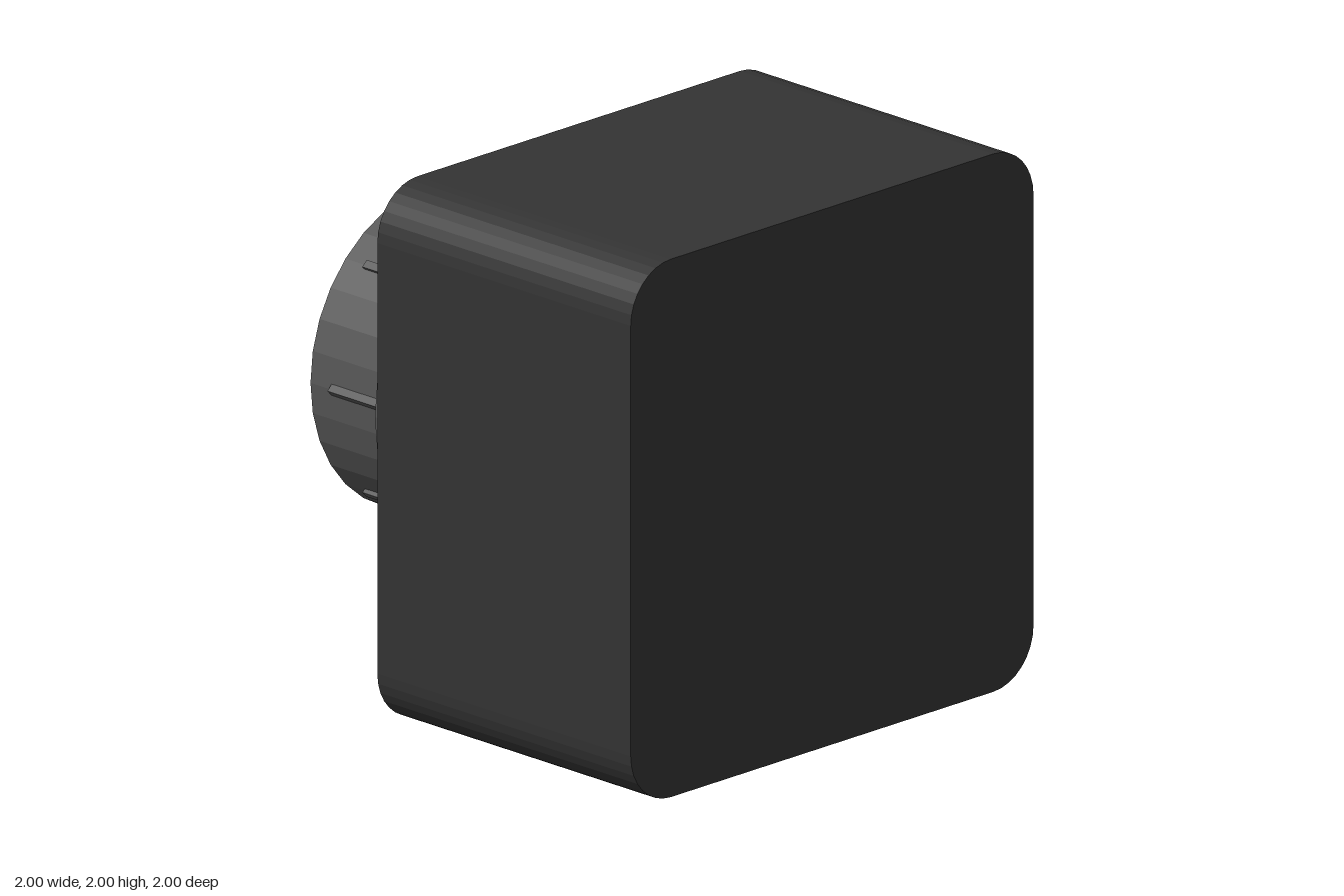
import * as THREE from 'three';

const bodyMaterial = new THREE.MeshStandardMaterial({ color: 0x333333, flatShading: true });
bodyMaterial.name = 'dark grey';
const knobMaterial = new THREE.MeshStandardMaterial({ color: 0x555555, flatShading: true });
knobMaterial.name = 'mid grey';

// Square outline with rounded corners, centred on the origin
function roundedSquare(half, radius) {
  const shape = new THREE.Shape();
  const c = half - radius;
  [[c, c], [-c, c], [-c, -c], [c, -c]].forEach(([x, y], i) => {
    shape.absarc(x, y, radius, i * Math.PI / 2, (i + 1) * Math.PI / 2, false);
  });
  shape.closePath();
  return shape;
}

// Cylinder lying along z between two depths
function cylinderZ(name, radius, zFront, zBack, sides, x = 0, y = 1) {
  const geometry = new THREE.CylinderGeometry(radius, radius, zFront - zBack, sides);
  geometry.rotateX(Math.PI / 2);
  const mesh = new THREE.Mesh(geometry, knobMaterial);
  mesh.name = name;
  mesh.position.set(x, y, (zFront + zBack) / 2);
  return mesh;
}

export function createModel() {
  const model = new THREE.Group();
  model.name = 'housingWithKnob';

  // Rounded block
  const geometry = new THREE.ExtrudeGeometry(roundedSquare(1, 0.2), {
    depth: 1.26, bevelEnabled: false, curveSegments: 4,
  });
  const body = new THREE.Mesh(geometry, bodyMaterial);
  body.name = 'body';
  body.position.set(0, 1, -0.26);
  model.add(body);

  // Stepped knob on the back
  model.add(cylinderZ('collar', 0.693, -0.26, -0.58, 32));
  model.add(cylinderZ('knob', 0.593, -0.58, -1, 32));

  // Diamond-section grip ribs half sunk into the knob
  const ribs = new THREE.Group();
  ribs.name = 'gripRibs';
  for (let i = 0; i < 8; i++) {
    const a = i * Math.PI / 4;
    ribs.add(cylinderZ('gripRib', 0.021, -0.58, -0.895, 4,
      0.593 * Math.cos(a), 1 + 0.593 * Math.sin(a)));
  }
  model.add(ribs);
  return model;
}
